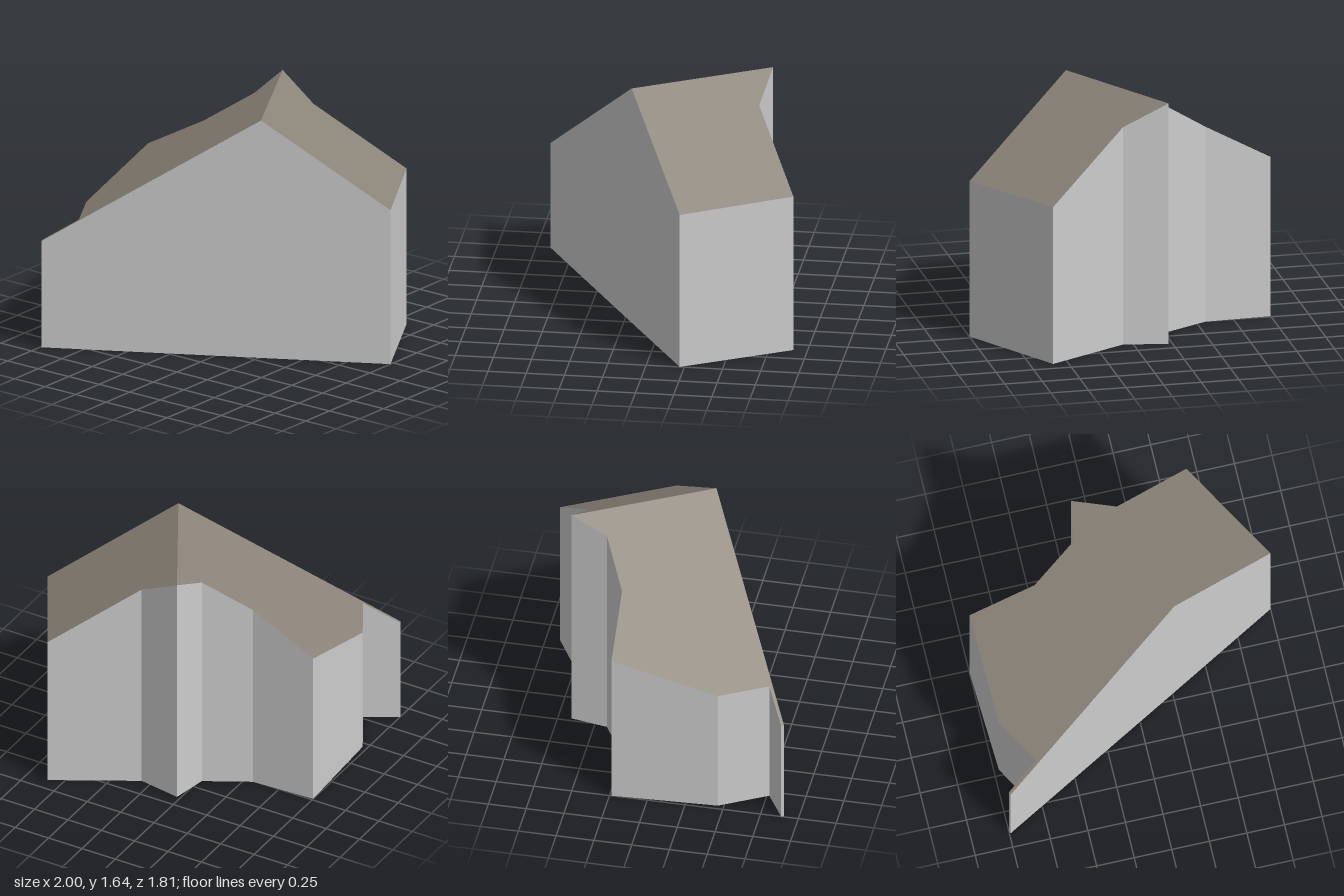
import * as THREE from 'three';

// Footprint corners [x, z], counter-clockwise from above; ridge runs from gable to back corner
const ridgeFront = [0.262, 0.198], ridgeBack = [-0.225, -0.66];
const rightSide = [[1, -0.22], [0.6, -0.908], [0.068, -0.61]];
const leftSide = [[-0.27, -0.417], [-0.562, -0.257], [-1, -0.237], [-0.967, 0.46],
  [-0.793, 0.765], [-1, 0.886], [-0.992, 0.904]];
const footprint = [ridgeFront, ...rightSide, ridgeBack, ...leftSide];

// Roof height: falls away from the ridge line, steeper on the left-hand slope
function roofHeight([x, z]) {
  const rx = ridgeFront[0] - ridgeBack[0], rz = ridgeFront[1] - ridgeBack[1];
  const len = Math.hypot(rx, rz);
  const dx = x - ridgeFront[0], dz = z - ridgeFront[1];
  const across = (dx * rz - dz * rx) / len;
  const along = -(dx * rx + dz * rz) / len;
  return 1.63 + 0.007 * along - (across > 0 ? 0.676 * across : -0.626 * across);
}

function geometryFrom(positions) {
  const g = new THREE.BufferGeometry();
  g.setAttribute('position', new THREE.Float32BufferAttribute(positions, 3));
  g.computeVertexNormals();
  return g;
}

// Fills an outline, each corner raised to heightOf(corner)
function surface(outline, heightOf, faceDown = false) {
  const contour = outline.map(([x, z]) => new THREE.Vector2(x, -z));
  const positions = [];
  for (const tri of THREE.ShapeUtils.triangulateShape(contour, [])) {
    for (const i of faceDown ? [...tri].reverse() : tri) {
      positions.push(outline[i][0], heightOf(outline[i]), outline[i][1]);
    }
  }
  return geometryFrom(positions);
}

// Vertical walls from the ground to the roof edge
function wallRing(outline) {
  const positions = [];
  outline.forEach((p, i) => {
    const q = outline[(i + 1) % outline.length];
    const a = [p[0], 0, p[1]], b = [q[0], 0, q[1]];
    const c = [q[0], roofHeight(q), q[1]], d = [p[0], roofHeight(p), p[1]];
    positions.push(...a, ...b, ...c, ...a, ...c, ...d);
  });
  return geometryFrom(positions);
}

export function createModel() {
  const wallGrey = new THREE.MeshStandardMaterial({ color: 0xcccccc });
  wallGrey.name = 'wall grey';
  const roofBrown = new THREE.MeshStandardMaterial({ color: 0x8c8479 });
  roofBrown.name = 'roof brown';

  const house = new THREE.Group();
  house.name = 'house';
  const add = (name, geometry, material) => {
    const mesh = new THREE.Mesh(geometry, material);
    mesh.name = name;
    house.add(mesh);
  };

  add('walls', wallRing(footprint), wallGrey);
  add('floor', surface(footprint, () => 0, true), wallGrey);
  add('leftRoof', surface([ridgeBack, ...leftSide, ridgeFront], roofHeight), roofBrown);
  add('rightRoof', surface([ridgeFront, ...rightSide, ridgeBack], roofHeight), roofBrown);
  return house;
}
